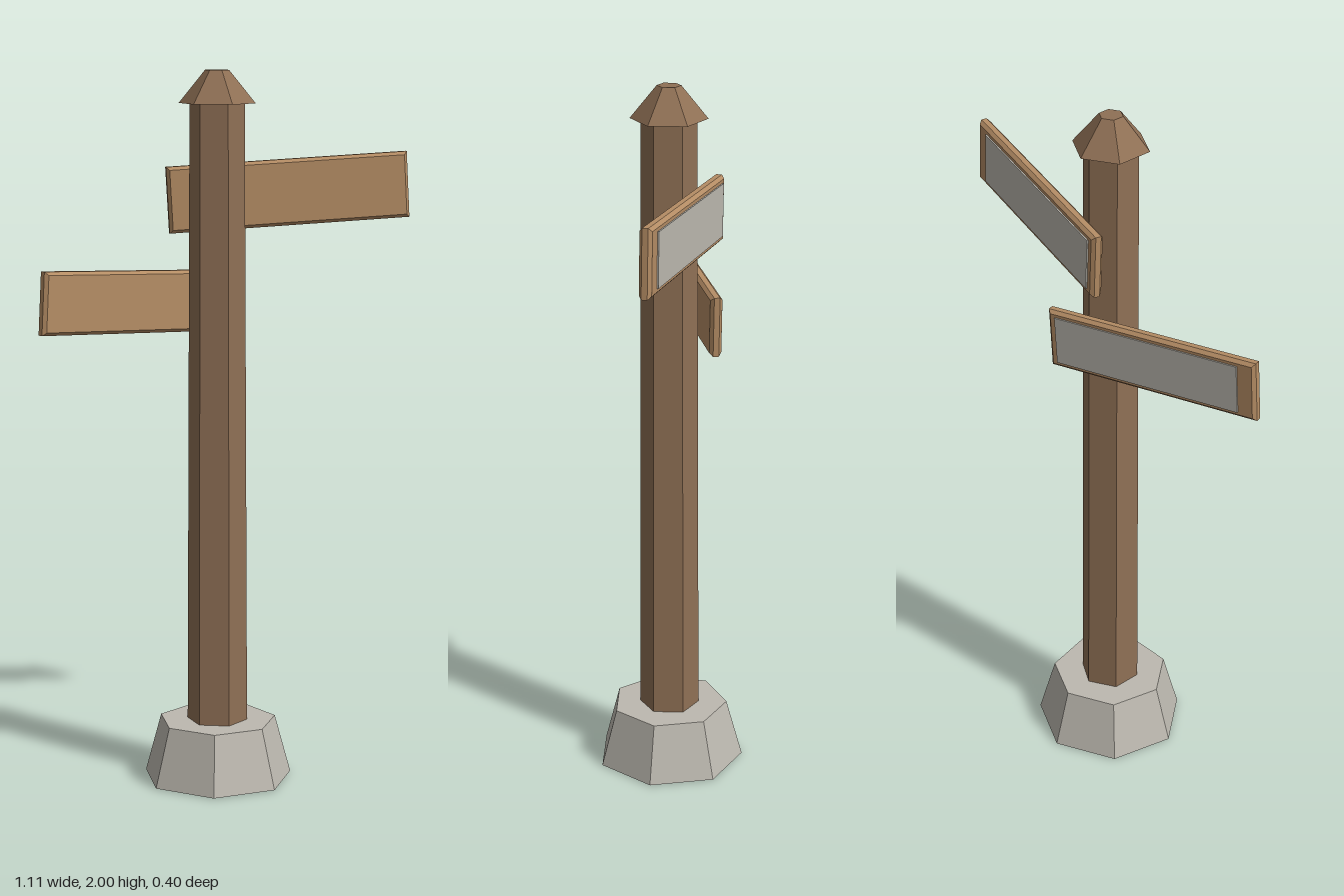
import * as THREE from 'three';

const postWood = new THREE.MeshStandardMaterial({ color: 0x8f7055 });
postWood.name = 'post wood';
const boardWood = new THREE.MeshStandardMaterial({ color: 0xb58d65 });
boardWood.name = 'board wood';
const paleGrey = new THREE.MeshStandardMaterial({ color: 0xbdb9b0 });
paleGrey.name = 'pale grey';

const CX = -0.025, CZ = 0.008; // post axis

function part(name, geometry, material) {
  const mesh = new THREE.Mesh(geometry, material);
  mesh.name = name;
  return mesh;
}

// Faceted tapered prism on the post axis, from y0 to y1
function prism(name, rTop, rBottom, y0, y1, sides, start, material) {
  const geo = new THREE.CylinderGeometry(rTop, rBottom, y1 - y0, sides, 1, false, start).toNonIndexed();
  geo.computeVertexNormals();
  const mesh = part(name, geo, material);
  mesh.position.set(CX, (y0 + y1) / 2, CZ);
  return mesh;
}

// Chamfered board with a thin grey panel on its back; side is the x direction it points in
function signBoard(name, side, length, height, position, yaw, tilt) {
  const depth = 0.034, bevel = 0.009;
  const w = length / 2 - bevel, h = height / 2 - bevel;
  const shape = new THREE.Shape([
    new THREE.Vector2(-w, -h), new THREE.Vector2(w, -h),
    new THREE.Vector2(w, h), new THREE.Vector2(-w, h),
  ]);
  const boardGeo = new THREE.ExtrudeGeometry(shape, {
    depth: depth - 2 * bevel, bevelEnabled: true, bevelSize: bevel, bevelThickness: bevel, bevelSegments: 1,
  });
  boardGeo.translate(0, 0, bevel - depth / 2);

  const outer = 0.052, inner = 0.024;
  const panel = part('backPanel', new THREE.BoxGeometry(length - outer - inner, height * 0.8, 0.008), paleGrey);
  panel.position.set(-side * (outer - inner) / 2, 0, -depth / 2);

  const group = new THREE.Group();
  group.name = name;
  group.add(part('board', boardGeo, boardWood), panel);
  group.position.set(...position);
  group.rotation.set(0, yaw, tilt);
  return group;
}

export function createModel() {
  const model = new THREE.Group();
  model.name = 'signpost';
  model.add(
    // Seven-sided footing, with the post showing through underneath
    prism('stoneFooting', 0.167, 0.213, 0.002, 0.17, 7, Math.PI, paleGrey),
    prism('post', 0.076, 0.086, 0, 1.92, 6, 0, postWood),
    prism('postCap', 0.033, 0.106, 1.91, 2, 6, 0, postWood),
    signBoard('upperSign', 1, 0.684, 0.185, [0.212, 1.657, -0.039], -0.25, 0.055),
    signBoard('lowerSign', -1, 0.638, 0.172, [-0.244, 1.37, -0.04], 0.27, -0.06),
  );
  return model;
}
